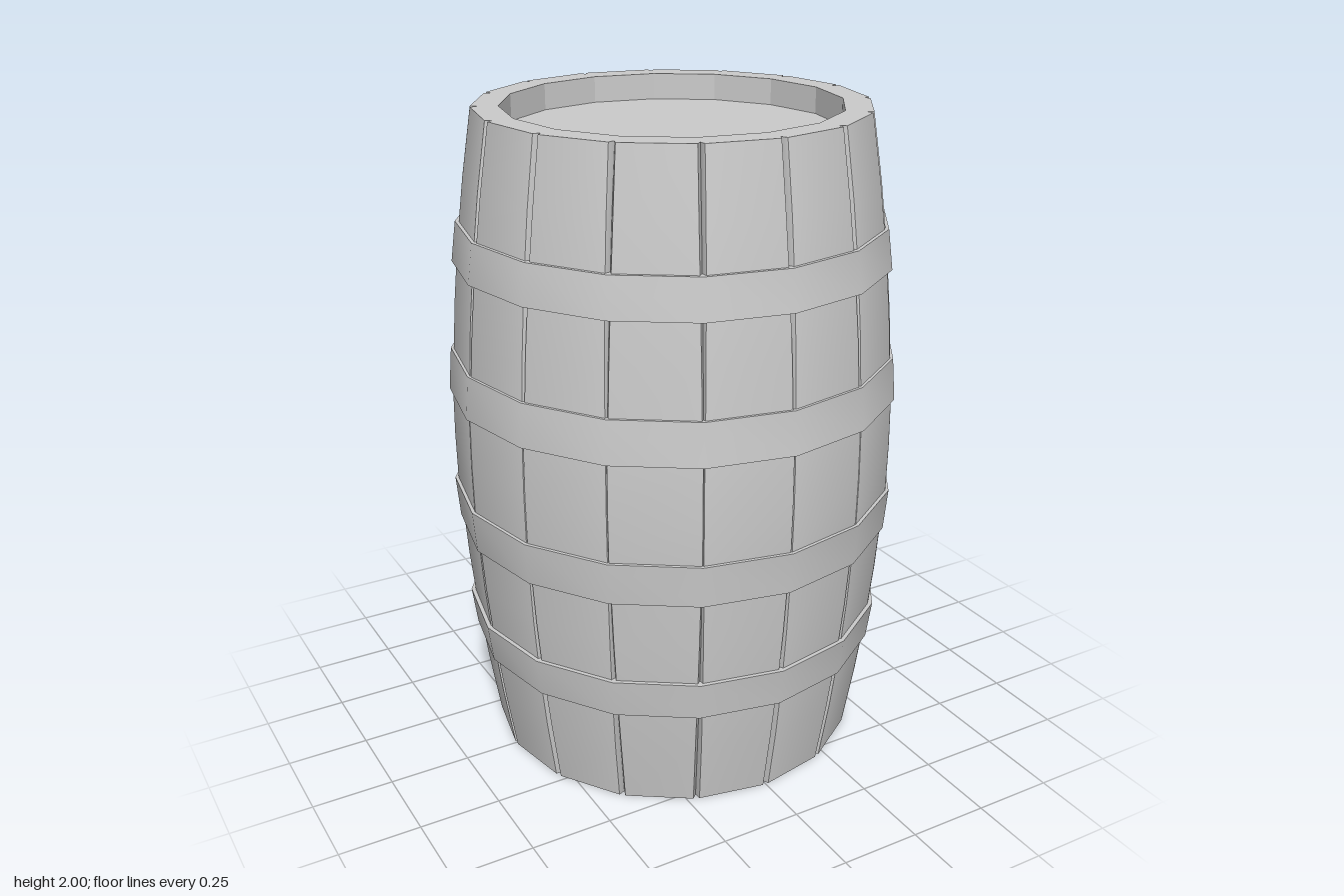
import * as THREE from 'three';
import { toCreasedNormals } from 'three/addons/utils/BufferGeometryUtils.js';

const SIDES = 16;
const HALF = Math.PI / SIDES;
const INNER = 0.5;

// Stave profile from foot to rim: height, outer radius, groove depth, groove half angle
const lower = [
  [0, 0.58, 0.02, 0.016],
  [0.2, 0.612, 0.019, 0.015],
  [0.39, 0.637, 0.016, 0.012],
  [0.58, 0.656, 0.012, 0.009],
  [0.78, 0.67, 0.008, 0.006],
  [0.86, 0.676, 0.004, 0.003],
];
const profile = [
  ...lower,
  [1, 0.678, 0.003, 0.003],
  ...lower.map(([y, ...rest]) => [2 - y, ...rest]).reverse(),
];

// One stave facing +z, with chamfered long edges, lofted from six-point sections
function staveGeometry() {
  const positions = [];
  const index = [];
  for (const [y, r, depth, gap] of profile) {
    const section = [
      [-HALF, INNER], [-HALF, r - depth], [-HALF + gap, r],
      [HALF - gap, r], [HALF, r - depth], [HALF, INNER],
    ];
    for (const [a, d] of section) positions.push(d * Math.sin(a), y, d * Math.cos(a));
  }
  const n = 6;
  for (let i = 0; i < profile.length - 1; i++) {
    for (let j = 0; j < n; j++) {
      const a = i * n + j, b = i * n + (j + 1) % n;
      index.push(a, b, b + n, a, b + n, a + n);
    }
  }
  const top = (profile.length - 1) * n;
  for (let j = 1; j < n - 1; j++) {
    index.push(0, j + 1, j);
    index.push(top, top + j, top + j + 1);
  }
  const indexed = new THREE.BufferGeometry();
  indexed.setAttribute('position', new THREE.Float32BufferAttribute(positions, 3));
  indexed.setIndex(index);
  const geometry = toCreasedNormals(indexed, 0.5);

  // Round the shading across the broad outer face
  const pos = geometry.attributes.position;
  const normal = geometry.attributes.normal;
  const v = new THREE.Vector3();
  for (let i = 0; i < pos.count; i++) {
    if (normal.getZ(i) < 0.9) continue;
    v.set(pos.getX(i), normal.getY(i) * pos.getZ(i), pos.getZ(i)).normalize();
    normal.setXYZ(i, v.x, v.y, v.z);
  }
  return geometry;
}

// Hoop with a rectangular section that follows the slope of the barrel
function hoopGeometry(y0, r0, y1, r1) {
  const points = [
    [r0 - 0.05, y0], [r0, y0], [r1, y1], [r1 - 0.05, y1],
  ].map(([x, y]) => new THREE.Vector2(x, y));
  return toCreasedNormals(new THREE.LatheGeometry(points, SIDES), 0.6);
}

export function createModel() {
  const barrel = new THREE.Group();
  barrel.name = 'barrel';
  const material = new THREE.MeshStandardMaterial({ color: 0xcccccc });
  const add = (parent, name, geometry) => {
    const mesh = new THREE.Mesh(geometry, material);
    mesh.name = name;
    parent.add(mesh);
    return mesh;
  };

  // Ring of staves, with the joints on the axes
  const staves = new THREE.Group();
  staves.name = 'staves';
  barrel.add(staves);
  const stave = staveGeometry();
  for (let i = 0; i < SIDES; i++) {
    add(staves, 'stave', stave).rotation.y = (2 * i + 1) * HALF;
  }

  // Recessed heads at both ends
  const head = new THREE.CylinderGeometry(INNER, INNER, 0.06, SIDES);
  add(barrel, 'bottomHead', head).position.y = 0.11;
  add(barrel, 'topHead', head).position.y = 1.89;

  // Two pairs of hoops, mirrored about the middle
  for (const [name, y0, r0, y1, r1] of [
    ['outerHoop', 0.33, 0.641, 0.45, 0.657],
    ['innerHoop', 0.72, 0.675, 0.85, 0.686],
  ]) {
    add(barrel, name + 'Lower', hoopGeometry(y0, r0, y1, r1));
    add(barrel, name + 'Upper', hoopGeometry(2 - y1, r1, 2 - y0, r0));
  }
  return barrel;
}
